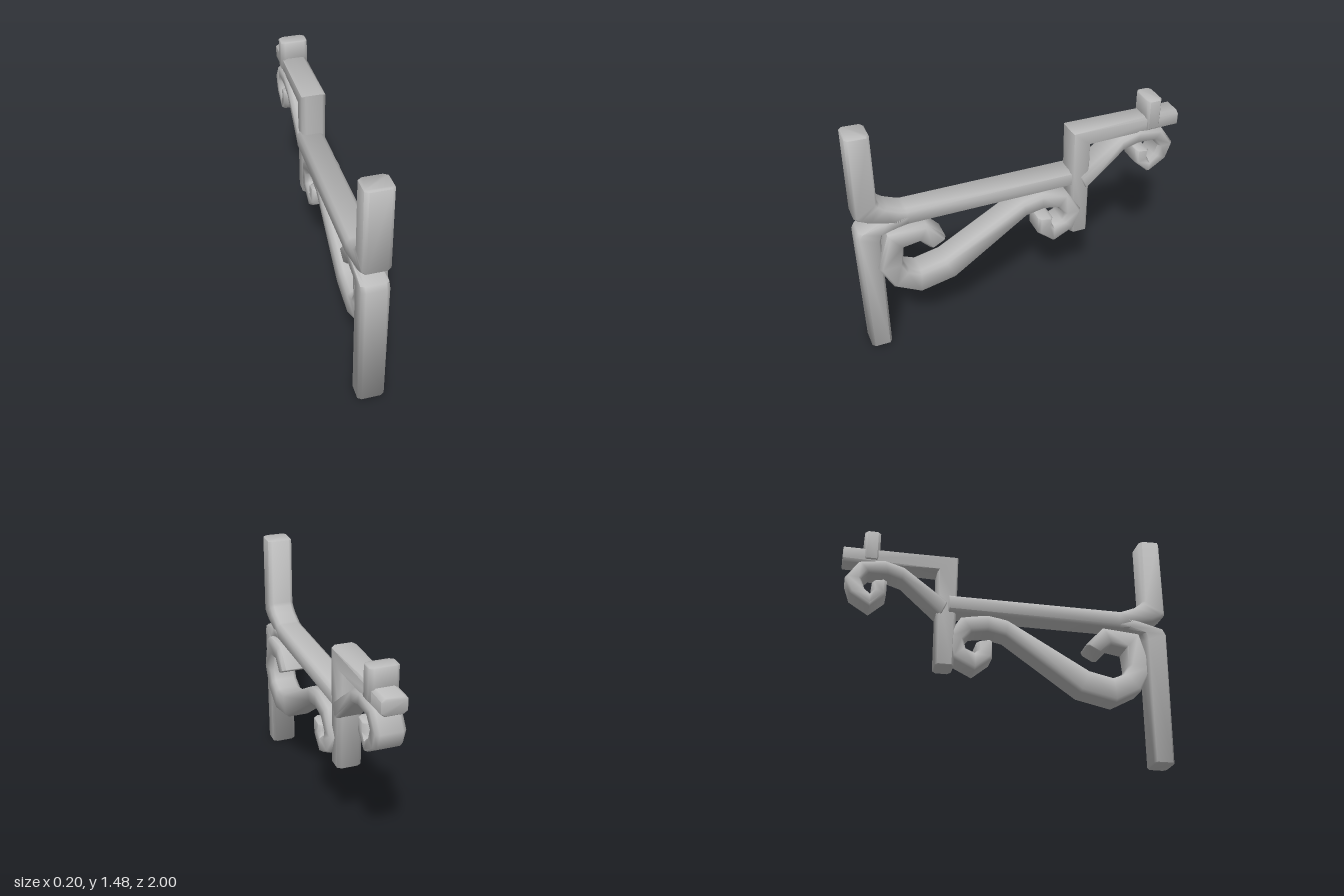
import * as THREE from 'three';
import { toCreasedNormals } from 'three/addons/utils/BufferGeometryUtils.js';

const iron = new THREE.MeshStandardMaterial({ color: 0xbbbbbb });
iron.name = 'grey iron';

// Bar in the z-y plane: each station is [zA, yA, zB, yB], the two edges of the bar,
// with a chamfered section from x0 to x1 and slightly eased ends.
function bar(name, stations, x0, x1) {
  const bevel = 0.005, chamferX = 0.022, chamferD = 0.016;
  const n = stations.length;
  const shift = (s, t) => {
    const dz = t[0] + t[2] - s[0] - s[2], dy = t[1] + t[3] - s[1] - s[3];
    const k = bevel / Math.hypot(dz, dy);
    return [s[0] + dz * k, s[1] + dy * k, s[2] + dz * k, s[3] + dy * k];
  };
  const rings = stations.map((s) => ({ s, inset: 0 }));
  rings[0].s = shift(stations[0], stations[1]);
  rings[n - 1].s = shift(stations[n - 1], stations[n - 2]);
  rings.unshift({ s: stations[0], inset: bevel });
  rings.push({ s: stations[n - 1], inset: bevel });

  const pos = [], index = [];
  for (const { s: [za, ya, zb, yb], inset } of rings) {
    const len = Math.hypot(zb - za, yb - ya);
    const lo = inset, hi = len - inset, a = x0 + inset, b = x1 - inset;
    const section = [[lo + chamferD, a], [hi - chamferD, a], [hi, a + chamferX], [hi, b - chamferX],
      [hi - chamferD, b], [lo + chamferD, b], [lo, b - chamferX], [lo, a + chamferX]];
    for (const [d, x] of section) {
      const t = d / len;
      pos.push(x, ya + (yb - ya) * t, za + (zb - za) * t);
    }
  }
  for (let r = 0; r < rings.length - 1; r++) {
    for (let k = 0; k < 8; k++) {
      const p = r * 8 + k, q = r * 8 + (k + 1) % 8;
      index.push(p, q, q + 8, p, q + 8, p + 8);
    }
  }
  const end = (rings.length - 1) * 8;
  for (let k = 1; k < 7; k++) {
    index.push(0, k + 1, k, end, end + k, end + k + 1);
  }
  // Turn the faces outwards whichever way the path runs
  let volume = 0;
  const v = (i) => new THREE.Vector3().fromArray(pos, i * 3);
  for (let i = 0; i < index.length; i += 3) {
    volume += v(index[i]).dot(v(index[i + 1]).cross(v(index[i + 2])));
  }
  if (volume < 0) index.reverse();

  const geometry = new THREE.BufferGeometry();
  geometry.setAttribute('position', new THREE.Float32BufferAttribute(pos, 3));
  geometry.setIndex(index);
  const mesh = new THREE.Mesh(toCreasedNormals(geometry, 1.1), iron);
  mesh.name = name;
  return mesh;
}

export function createModel() {
  const group = new THREE.Group();
  group.name = 'scrollBracket';

  // Upper wall post, bending into the long beam
  group.add(bar('upperPostAndBeam', [
    [0.995, 1.48, 0.86, 1.475],
    [0.997, 0.965, 0.86, 1.05],
    [0.975, 0.945, 0.845, 1.03],
    [0.92, 0.917, 0.805, 0.998],
    [0.8, 0.885, 0.72, 0.963],
    [0.7, 0.85, 0.7, 0.96],
    [-0.36, 0.85, -0.36, 0.957],
  ], -0.097, 0.06));

  // Lower wall post, bending into the same beam
  group.add(bar('lowerPost', [
    [0.985, 0, 0.86, 0],
    [0.997, 0.83, 0.86, 0.776],
    [0.98, 0.863, 0.845, 0.823],
    [0.83, 0.905, 0.75, 0.845],
    [0.69, 0.93, 0.69, 0.852],
  ], -0.097, 0.06));

  // Rear post with its arm, and the stub on top
  group.add(bar('rearPostAndArm', [
    [-0.318, 0.51, -0.43, 0.51],
    [-0.308, 0.95, -0.43, 0.95],
    [-0.305, 1.232, -0.43, 1.125],
    [-1, 1.23, -1, 1.13],
  ], -0.073, 0.073));
  group.add(bar('armStub', [
    [-0.782, 1.15, -0.878, 1.15],
    [-0.782, 1.34, -0.878, 1.34],
  ], -0.082, 0.084));

  // Large S scroll under the beam
  group.add(bar('largeScroll', [
    [0.487, 0.727, 0.583, 0.674],
    [0.6, 0.85, 0.647, 0.743],
    [0.829, 0.832, 0.743, 0.727],
    [0.897, 0.604, 0.754, 0.615],
    [0.82, 0.455, 0.722, 0.556],
    [0.663, 0.37, 0.652, 0.524],
    [0.444, 0.417, 0.503, 0.556],
    [-0.01, 0.738, 0.005, 0.84],
    [-0.118, 0.759, -0.118, 0.865],
    [-0.214, 0.743, -0.28, 0.832],
    [-0.262, 0.69, -0.371, 0.69],
    [-0.25, 0.636, -0.328, 0.567],
    [-0.193, 0.61, -0.193, 0.5],
    [-0.178, 0.63, -0.091, 0.585],
    [-0.187, 0.679, -0.091, 0.698],
  ], -0.07, 0.1));

  // Small scroll under the rear arm
  group.add(bar('smallScroll', [
    [-0.364, 0.92, -0.406, 0.824],
    [-0.631, 1.12, -0.642, 1.037],
    [-0.749, 1.155, -0.727, 1.064],
    [-0.9, 1.13, -0.84, 1.064],
    [-0.977, 1.018, -0.882, 1.016],
    [-0.943, 0.918, -0.861, 0.957],
    [-0.824, 0.843, -0.826, 0.925],
    [-0.731, 0.93, -0.81, 0.952],
    [-0.731, 1.021, -0.818, 1.005],
  ], -0.085, 0.086));

  return group;
}
